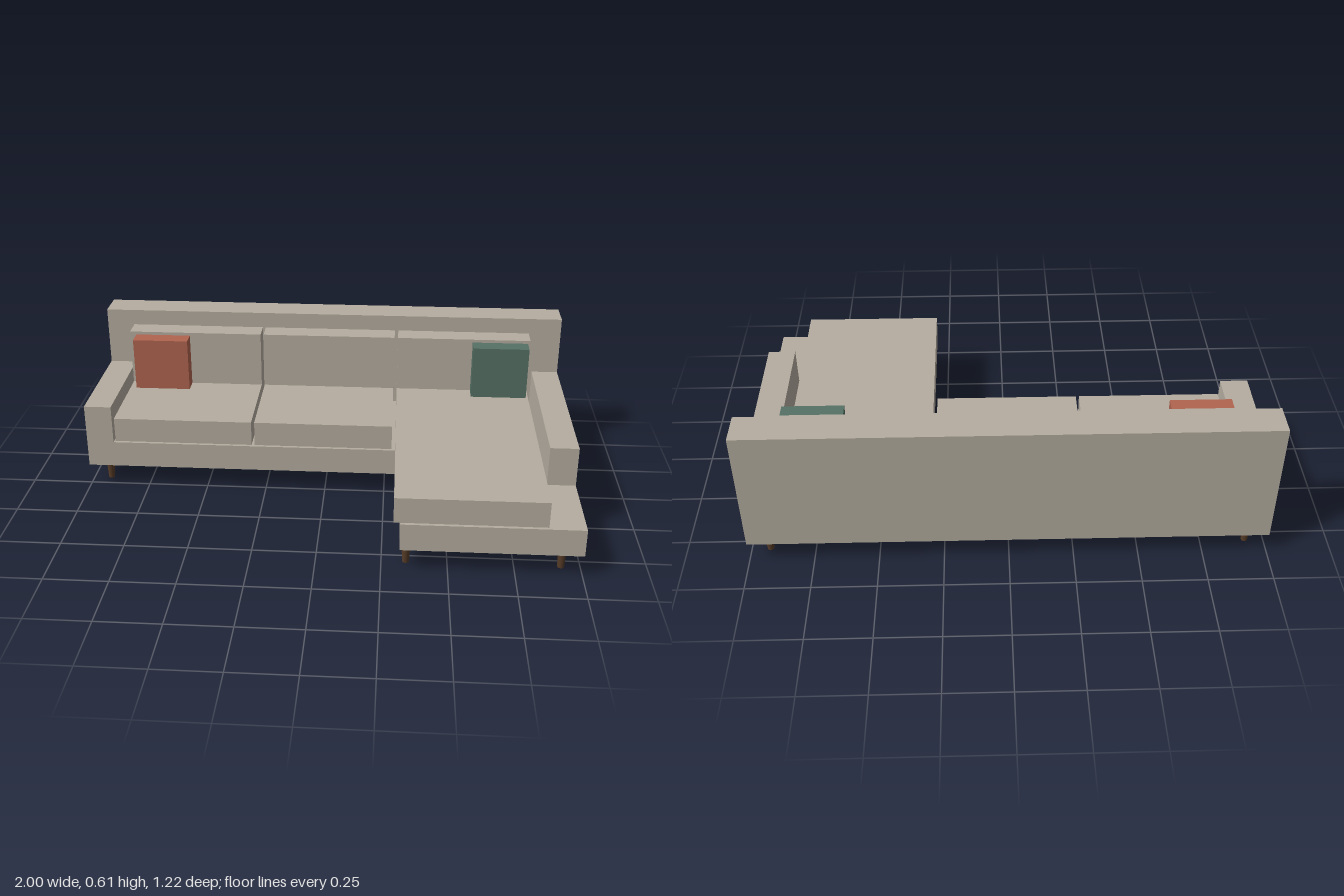
import * as THREE from 'three';

const material = (name, color) => {
  const m = new THREE.MeshStandardMaterial({ color });
  m.name = name;
  return m;
};

export function createModel() {
  const sofa = new THREE.Group();
  sofa.name = 'cornerSofa';
  const fabric = material('beige fabric', 0xb5ada0);
  const terracotta = material('terracotta fabric', 0xb0644f);
  const green = material('green fabric', 0x557166);
  const wood = material('dark wood', 0x573c28);

  const add = (name, geometry, mat) => {
    const mesh = new THREE.Mesh(geometry, mat);
    mesh.name = name;
    sofa.add(mesh);
    return mesh;
  };
  // Box given by its extents along each axis
  const block = (name, [x0, x1], [y0, y1], [z0, z1], mat = fabric) =>
    add(name, new THREE.BoxGeometry(x1 - x0, y1 - y0, z1 - z0), mat)
      .position.set((x0 + x1) / 2, (y0 + y1) / 2, (z0 + z1) / 2);

  // L-shaped base; the shape's y axis becomes -z
  const outline = [[-1, -0.61], [1, -0.61], [1, 0.61], [0.318, 0.61], [0.318, 0.015], [-1, 0.015]];
  const plan = new THREE.Shape(outline.map(([x, z]) => new THREE.Vector2(x, -z)));
  const base = new THREE.ExtrudeGeometry(plan, { depth: 0.11, bevelEnabled: false });
  base.rotateX(-Math.PI / 2).translate(0, 0.092, 0);
  add('base', base, fabric);

  // Backrest and arms
  block('backrest', [-1, 1], [0.202, 0.61], [-0.61, -0.48]);
  block('rightArm', [-1, -0.888], [0.202, 0.363], [-0.48, 0.015]);
  block('leftArm', [0.888, 1], [0.202, 0.363], [-0.48, 0.27]);

  // Three seat cushions, the last one being the long chaise, and their back cushions
  const spans = [[-0.882, -0.306], [-0.293, 0.278], [0.293, 0.862]];
  spans.forEach((span, i) => {
    block(i === 2 ? 'chaiseCushion' : 'seatCushion', span, [0.202, 0.305], [-0.48, i === 2 ? 0.597 : 0.002]);
    block('backCushion', span, [0.305, 0.543], [-0.48, -0.39]);
  });

  // Throw pillows
  block('rightPillow', [-0.855, -0.618], [0.305, 0.53], [-0.39, -0.32], terracotta);
  block('leftPillow', [0.615, 0.852], [0.305, 0.53], [-0.39, -0.32], green);

  // Tapered legs
  const legShape = new THREE.CylinderGeometry(0.018, 0.013, 0.092, 12);
  const legs = [[-0.927, -0.537], [0.927, -0.537], [-0.927, -0.055], [0.333, -0.055], [0.343, 0.539], [0.927, 0.539]];
  for (const [x, z] of legs) add('leg', legShape, wood).position.set(x, 0.046, z);

  return sofa;
}
